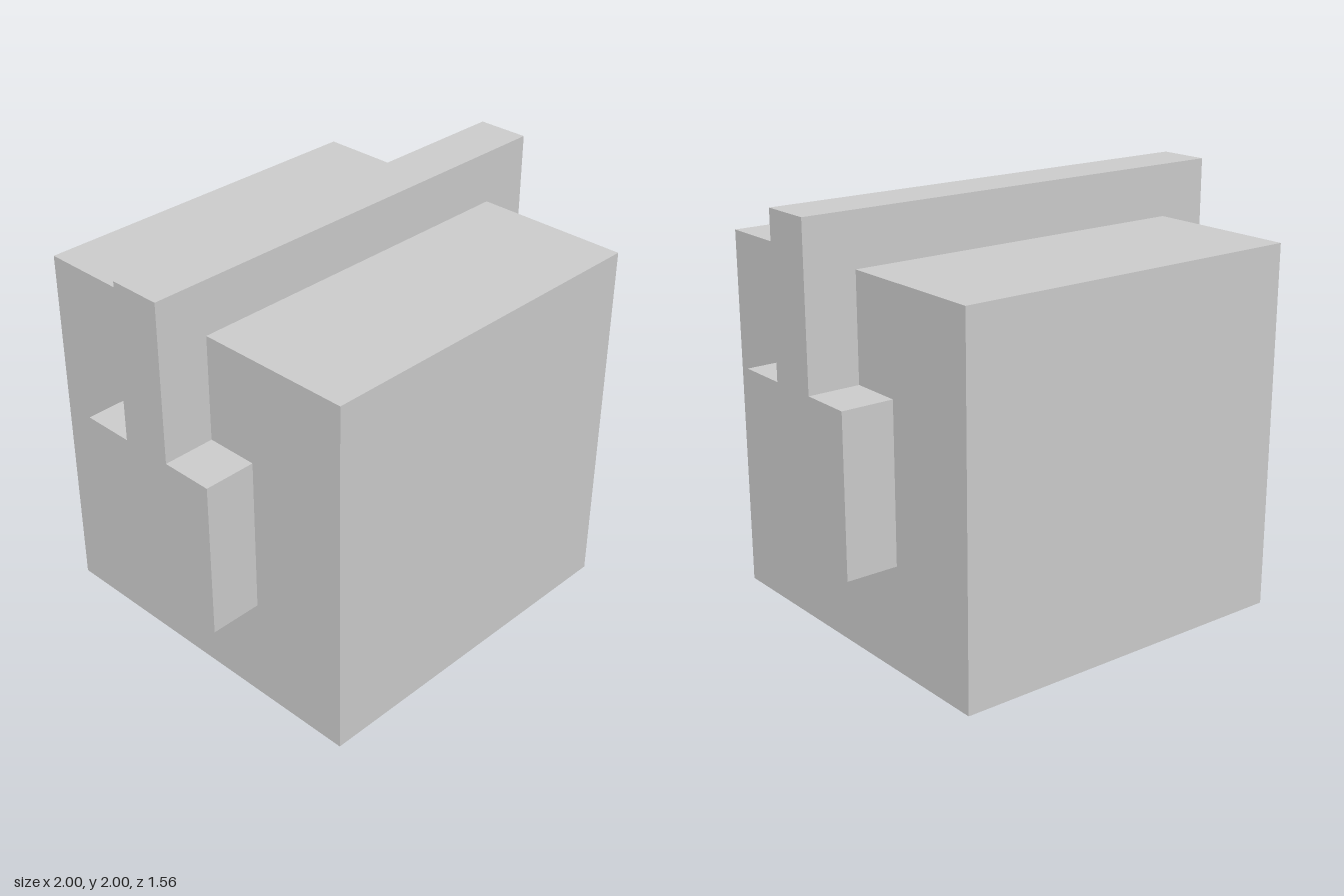
import * as THREE from 'three';

const U = 2 / 9; // thickness of the band, ear cups and neck
const CUP = 3 * U;
const HEAD = 7 * U;

export function createModel() {
  const group = new THREE.Group();
  const material = new THREE.MeshStandardMaterial({ color: 0xcccccc, flatShading: true });

  const add = (name, geometry, x, y, z) => {
    const mesh = new THREE.Mesh(geometry, material);
    mesh.name = name;
    mesh.position.set(x, y, z);
    group.add(mesh);
  };

  // Cube head on a short square neck
  add('head', new THREE.BoxGeometry(HEAD, HEAD, HEAD), 0, U + HEAD / 2, 0);
  add('neck', new THREE.BoxGeometry(CUP, U, CUP), 0, U / 2, 0);

  // Square ear cups on both sides
  for (const [name, side] of [['leftEarCup', 1], ['rightEarCup', -1]]) {
    add(name, new THREE.BoxGeometry(U, CUP, CUP), side * (1 - U / 2), 1, 0);
  }

  // Arched band over the head, ending on top of the ear cups
  const inner = HEAD / 2;
  const foot = 1 + CUP / 2;
  const under = U + HEAD;
  const arch = new THREE.Shape([
    [-1, foot], [-inner, foot], [-inner, under], [inner, under],
    [inner, foot], [1, foot], [1, 2], [-1, 2],
  ].map(([x, y]) => new THREE.Vector2(x, y)));
  add('headband', new THREE.ExtrudeGeometry(arch, { depth: U, bevelEnabled: false }), 0, 0, -U / 2);

  return group;
}
